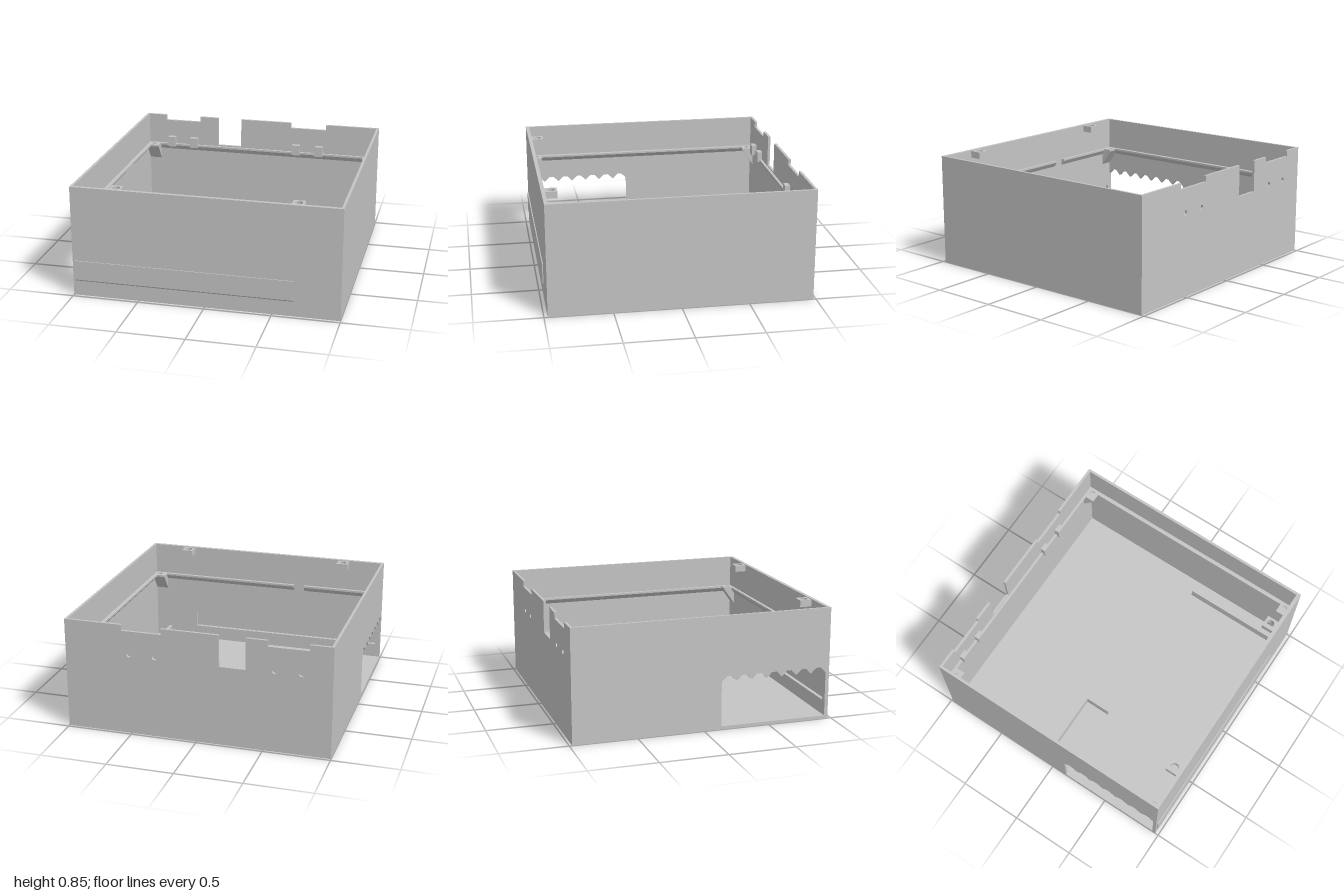
import * as THREE from 'three';

export function createModel() {
  const group = new THREE.Group();
  const grey = new THREE.MeshStandardMaterial({ color: 0xc4c4c4 });
  grey.name = 'lightGrey';

  const add = (name, geometry) => {
    const mesh = new THREE.Mesh(geometry, grey);
    mesh.name = name;
    group.add(mesh);
  };
  const poly = (pts) => new THREE.Shape(pts.map(([a, b]) => new THREE.Vector2(a, b)));
  const rect = (a0, a1, b0, b1) => poly([[a0, b0], [a1, b0], [a1, b1], [a0, b1]]);
  const circle = (a, b, r) => new THREE.Path().absarc(a, b, r, 0, Math.PI * 2, true);
  const extrude = (shape, depth) =>
    new THREE.ExtrudeGeometry(shape, { depth, bevelEnabled: false, curveSegments: 12 });
  // Panels drawn as (x,y), (z,y) and (x,z), spanning the given range of the third axis
  const panelZ = (shape, z0, z1) => extrude(shape, z1 - z0).translate(0, 0, z0);
  const panelX = (shape, x0, x1) => extrude(shape, x1 - x0).rotateY(-Math.PI / 2).translate(x1, 0, 0);
  const panelY = (shape, y0, y1) => extrude(shape, y1 - y0).rotateX(Math.PI / 2).translate(0, y1, 0);
  const box = (x0, x1, y0, y1, z0, z1) =>
    new THREE.BoxGeometry(x1 - x0, y1 - y0, z1 - z0)
      .translate((x0 + x1) / 2, (y0 + y1) / 2, (z0 + z1) / 2);

  const H = 0.85, FLOOR = 0.025, BACK = -0.98, FRONT = 0.973;
  const BACK_IN = -0.96, FRONT_IN = 0.945, SIDE_IN = 0.98; // inner faces of the walls
  const LEDGE = 0.6, UNDER = 0.585, CHAMFER = 0.55; // ledge top, edge bottom, chamfer foot

  add('floor', box(-1, 1, 0, FLOOR, BACK, FRONT));

  // Back wall: shallow notches and one deep slot in the rim, four screw holes
  const back = [[-1, FLOOR], [1, FLOOR], [1, H]];
  for (const [x0, x1, depth] of [[0.26, 0.56, 0.045], [-0.37, -0.17, 0.24], [-0.83, -0.53, 0.045]]) {
    back.push([x1, H], [x1, H - depth], [x0, H - depth], [x0, H]);
  }
  back.push([-1, H]);
  const backShape = poly(back);
  for (const x of [-0.775, -0.58, 0.31, 0.505]) {
    backShape.holes.push(circle(x, 0.625, 0.02));
    add('screwBlock', box(x - 0.032, x + 0.032, 0.58, 0.665, BACK_IN, -0.92));
  }
  add('backWall', panelZ(backShape, BACK, BACK_IN));

  // Front wall with a long slot behind a raised cover strip
  const frontShape = rect(-1, 1, FLOOR, H);
  frontShape.holes.push(rect(-0.96, 0.62, 0.135, 0.255));
  add('frontWall', panelZ(frontShape, FRONT_IN, FRONT));
  add('frontStrip', panelX(
    poly([[FRONT, 0.115], [0.98, 0.125], [0.98, 0.275], [FRONT, 0.275]]), -0.98, 0.66));

  // Plain side wall at +x
  add('leftWall', box(SIDE_IN, 1, FLOOR, H, BACK_IN, FRONT_IN));

  // Side wall at -x with a large opening whose upper edge is a row of teeth
  const z0 = 0.13, teeth = 7, step = (FRONT_IN - z0) / teeth;
  const side = [[BACK_IN, FLOOR], [z0, FLOOR], [z0, 0.36]];
  for (let i = 0; i < teeth; i++) {
    side.push([z0 + (i + 0.35) * step, 0.4], [z0 + (i + 0.65) * step, 0.4], [z0 + (i + 1) * step, 0.36]);
  }
  side.push([FRONT_IN, H], [BACK_IN, H]);
  add('rightWall', panelX(poly(side), -1, -SIDE_IN));

  // Lid ledge with corner bosses, screw holes and a small front notch
  const ledge = rect(-SIDE_IN, SIDE_IN, BACK_IN, FRONT_IN);
  ledge.holes.push(poly([
    [-0.88, -0.94], [0.88, -0.94], [0.88, -0.87], [0.95, -0.87],
    [0.95, 0.855], [0.88, 0.855], [0.88, 0.92],
    [-0.25, 0.92], [-0.25, 0.944], [-0.34, 0.944], [-0.34, 0.92],
    [-0.88, 0.92], [-0.88, 0.855], [-0.95, 0.855], [-0.95, -0.87], [-0.88, -0.87],
  ]));
  for (const s of [-1, 1]) {
    for (const z of [-0.915, 0.9]) ledge.holes.push(circle(s * 0.935, z, 0.02));
    // Tapered supports under the corner bosses
    const [x0, x1] = s > 0 ? [0.88, SIDE_IN] : [-SIDE_IN, -0.88];
    for (const [wall, edge] of [[BACK_IN, -0.87], [FRONT_IN, 0.855]]) {
      add('bossSupport', panelX(poly([[wall, UNDER], [edge, UNDER], [wall, 0.46]]), x0, x1));
    }
    // Chamfer under the side ledges
    add('sideLedgeChamfer', panelZ(
      poly([[s * SIDE_IN, UNDER], [s * 0.95, UNDER], [s * SIDE_IN, CHAMFER]]), BACK_IN, FRONT_IN));
    // Rim bosses on the front wall
    const boss = rect(s * 0.67 - 0.045, s * 0.67 + 0.045, 0.855, FRONT_IN);
    boss.holes.push(circle(s * 0.67, 0.9, 0.03));
    add('rimBoss', panelY(boss, 0.793, 0.845));
  }
  add('lidLedge', panelY(ledge, UNDER, LEDGE));

  // Chamfers under the back and front ledges
  add('backLedgeChamfer', panelX(
    poly([[BACK_IN, UNDER], [-0.94, UNDER], [BACK_IN, CHAMFER]]), -0.88, 0.88));
  for (const [x0, x1] of [[-0.88, -0.34], [-0.25, 0.88]]) {
    add('frontLedgeChamfer', panelX(
      poly([[FRONT_IN, UNDER], [0.92, UNDER], [FRONT_IN, CHAMFER]]), x0, x1));
  }

  // Low guides on the floor
  add('floorRail', box(0.85, 0.875, FLOOR, 0.11, 0.13, FRONT_IN));
  add('floorDivider', box(-SIDE_IN, -0.395, FLOOR, 0.11, -0.08, -0.067));
  add('floorDivider', box(-0.407, -0.395, FLOOR, 0.11, -0.067, 0.13));

  return group;
}
